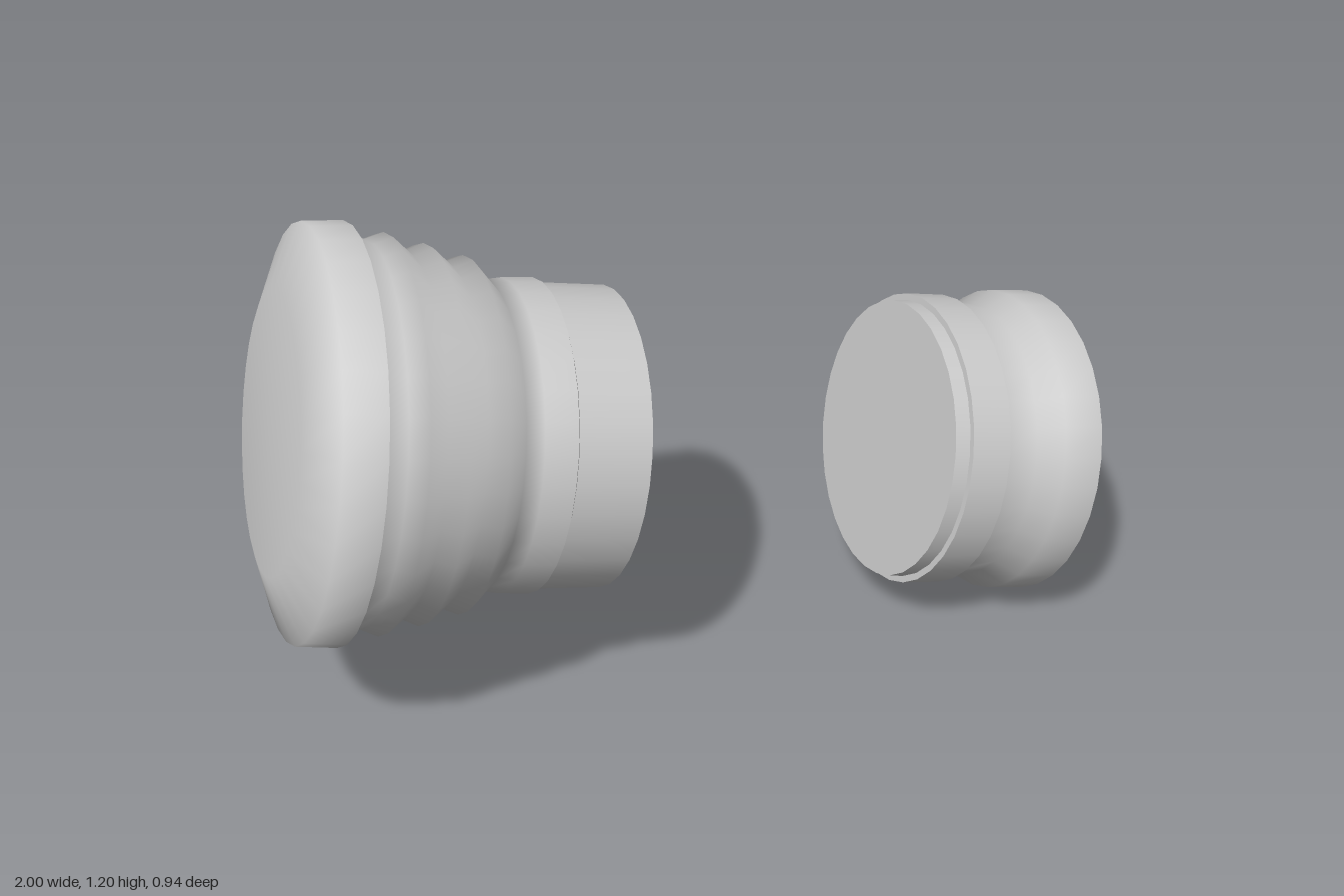
import * as THREE from 'three';

const grey = new THREE.MeshStandardMaterial({ color: 0xcccccc });
grey.name = 'lightGrey';

// Turned surface from [radius, position along axis] points; each call is one smooth run
function turned(name, points) {
  const profile = points.map(([r, s]) => new THREE.Vector2(r, s));
  const mesh = new THREE.Mesh(new THREE.LatheGeometry(profile, 32), grey);
  mesh.name = name;
  return mesh;
}

function assembly(name, runs) {
  const group = new THREE.Group();
  group.name = name;
  for (const [part, points] of runs) group.add(turned(part, points));
  return group;
}

export function createModel() {
  const model = new THREE.Group();
  model.name = 'bellowsSocketAndPlug';

  // Both parts share one axis tilted 12 degrees downward to the right
  const axis = new THREE.Group();
  axis.name = 'tiltedAxis';
  axis.position.set(0.92, 0.372, 0);
  axis.rotation.z = -THREE.MathUtils.degToRad(102);
  model.add(axis);

  // Ridges of the bellows, from the wide rim to the narrow collar
  const ridges = [
    [0.444, -1.75], [0.43, -1.7], [0.447, -1.659], [0.407, -1.61],
    [0.427, -1.568], [0.386, -1.518], [0.404, -1.476], [0.352, -1.425],
    [0.358, -1.385], [0.361, -1.31],
  ];
  const lining = ridges.slice(0, -2).reverse().map(([r, s]) => [r - 0.035, s]);

  axis.add(assembly('bellowsSocket', [
    ['domedEnd', [[0, -1.895], [0.315, -1.895], [0.463, -1.843], [0.469, -1.75]]],
    ['rimShoulder', [[0.469, -1.75], [0.444, -1.75]]],
    ['bellows', ridges],
    ['collarStep', [[0.361, -1.31], [0.35, -1.305]]],
    ['tube', [[0.35, -1.305], [0.35, -1.137]]],
    ['tubeLip', [[0.35, -1.137], [0.322, -1.137]]],
    ['tubeBore', [[0.322, -1.137], [0.322, -1.305]]],
    ['innerLedge', [[0.322, -1.305], [0.302, -1.305]]],
    ['ledgeBore', [[0.302, -1.305], [0.302, -1.4]]],
    ['innerBellows', [[0.302, -1.4], ...lining, [0.415, -1.83]]],
    ['innerFloor', [[0.415, -1.83], [0.29, -1.865], [0, -1.865]]],
  ]));

  axis.add(assembly('plug', [
    ['innerDisc', [[0, -0.376], [0.339, -0.376]]],
    ['pilotRing', [[0.339, -0.376], [0.341, -0.339]]],
    ['bandBack', [[0.341, -0.339], [0.357, -0.339]]],
    ['sealBand', [[0.357, -0.339], [0.357, -0.24]]],
    ['bandFront', [[0.357, -0.24], [0.342, -0.24]]],
    ['plugBody', [[0.342, -0.24], [0.336, -0.153], [0.374, -0.098], [0.376, 0]]],
    ['outerDisc', [[0.376, 0], [0, 0]]],
  ]));

  return model;
}
